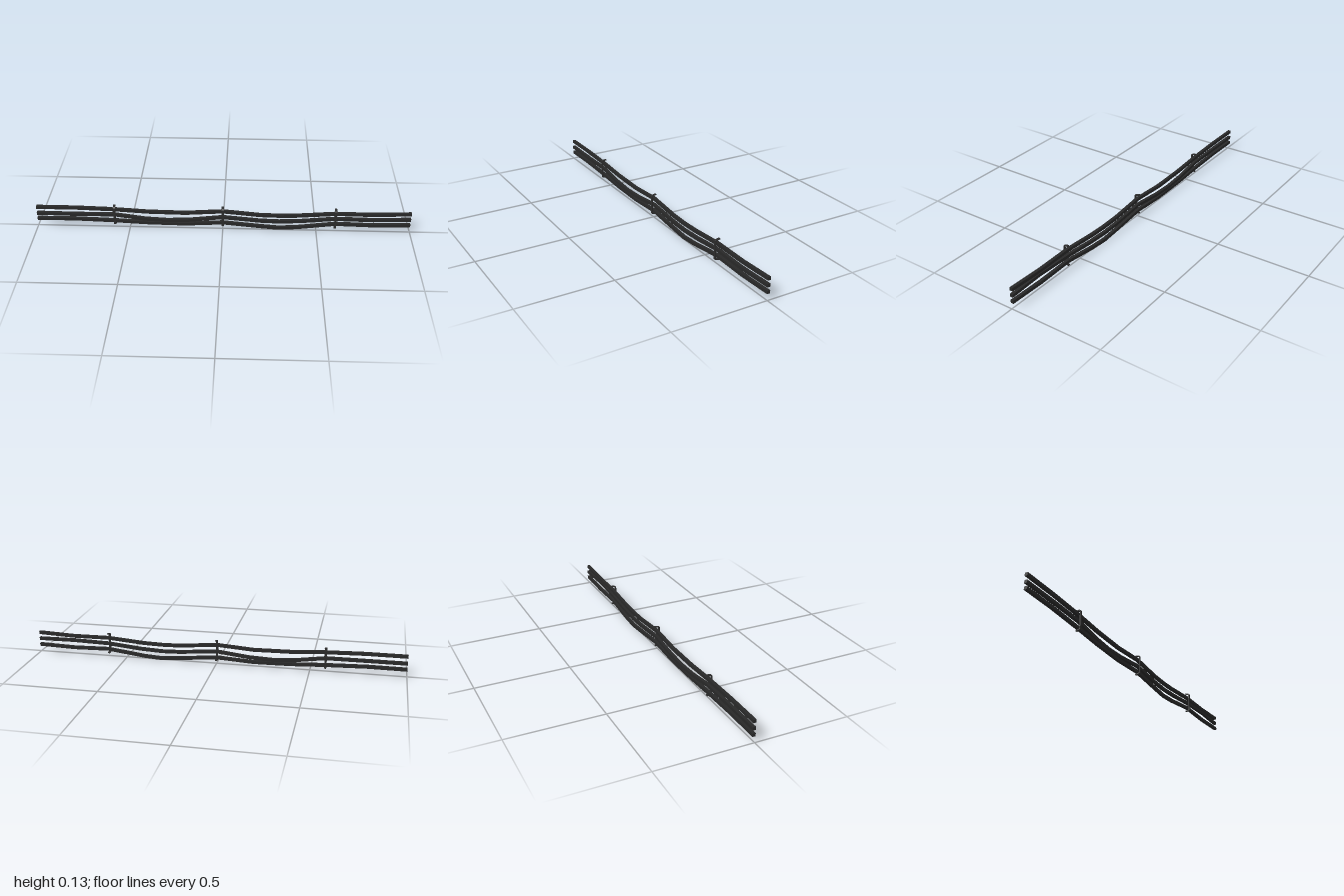
import * as THREE from 'three';

const cableMat = new THREE.MeshStandardMaterial({ color: 0x282828 });
cableMat.name = 'cable rubber';
const clipMat = new THREE.MeshStandardMaterial({ color: 0x2c2c2c });
clipMat.name = 'clip metal';

const THICKNESS = 0.0165;
const BACK = -0.005;

// Sagging square-section cable: a long box whose rings are moved to [x, y, z] points
function makeCable(name, points) {
  const segments = points.length - 1;
  const geo = new THREE.BoxGeometry(segments, THICKNESS, THICKNESS, segments, 1, 1);
  const pos = geo.attributes.position;
  for (let i = 0; i < pos.count; i++) {
    const [x, y, z = BACK] = points[Math.round(pos.getX(i) + segments / 2)];
    pos.setXYZ(i, x, y + pos.getY(i), z + pos.getZ(i));
  }
  geo.computeVertexNormals();
  const cable = new THREE.Mesh(geo, cableMat);
  cable.name = name;
  return cable;
}

// Bracket profile in (z, y): a bent strip with arms reaching back to the wall
function makeClip(x) {
  const outline = [
    [-0.0135, 0.133], [0.008, 0.129], [0.013, 0.125], [0.0135, 0.075], [0.013, 0.024],
    [0.009, 0.0215], [-0.0135, 0.018], [-0.0135, 0.023], [0.006, 0.0265], [0.008, 0.03],
    [0.0085, 0.075], [0.008, 0.121], [0.006, 0.124], [-0.0135, 0.128],
  ];
  const shape = new THREE.Shape(outline.map(([z, y]) => new THREE.Vector2(z, y)));
  const width = 0.012;
  const geo = new THREE.ExtrudeGeometry(shape, { depth: width, bevelEnabled: false });
  geo.translate(0, 0, -width / 2);
  geo.rotateY(-Math.PI / 2);
  const clip = new THREE.Mesh(geo, clipMat);
  clip.name = 'clip';
  clip.position.x = x;
  return clip;
}

export function createModel() {
  const model = new THREE.Group();
  model.name = 'clippedCables';

  model.add(makeCable('topCable', [
    [-1, 0.113], [-0.79, 0.113], [-0.58, 0.107], [-0.4, 0.096], [-0.2, 0.093], [0, 0.107],
    [0.2, 0.088], [0.3, 0.086], [0.4, 0.089], [0.6, 0.105], [0.8, 0.103], [1, 0.111],
  ]));
  model.add(makeCable('middleCable', [
    [-1, 0.075], [-0.8, 0.074, -0.003], [-0.58, 0.074], [-0.42, 0.051], [-0.3, 0.044],
    [-0.18, 0.049], [0, 0.07], [0.2, 0.052], [0.3, 0.049], [0.42, 0.055], [0.6, 0.073],
    [0.8, 0.075, 0.003], [1, 0.076],
  ]));
  model.add(makeCable('bottomCable', [
    [-1, 0.042], [-0.8, 0.043], [-0.58, 0.036], [-0.4, 0.027], [-0.2, 0.024], [0, 0.036],
    [0.2, 0.0165], [0.3, 0.0085], [0.4, 0.015], [0.6, 0.041], [0.8, 0.036], [1, 0.042],
  ]));

  // Wall clips holding the three cables
  for (const x of [-0.58, 0, 0.6]) model.add(makeClip(x));
  return model;
}
